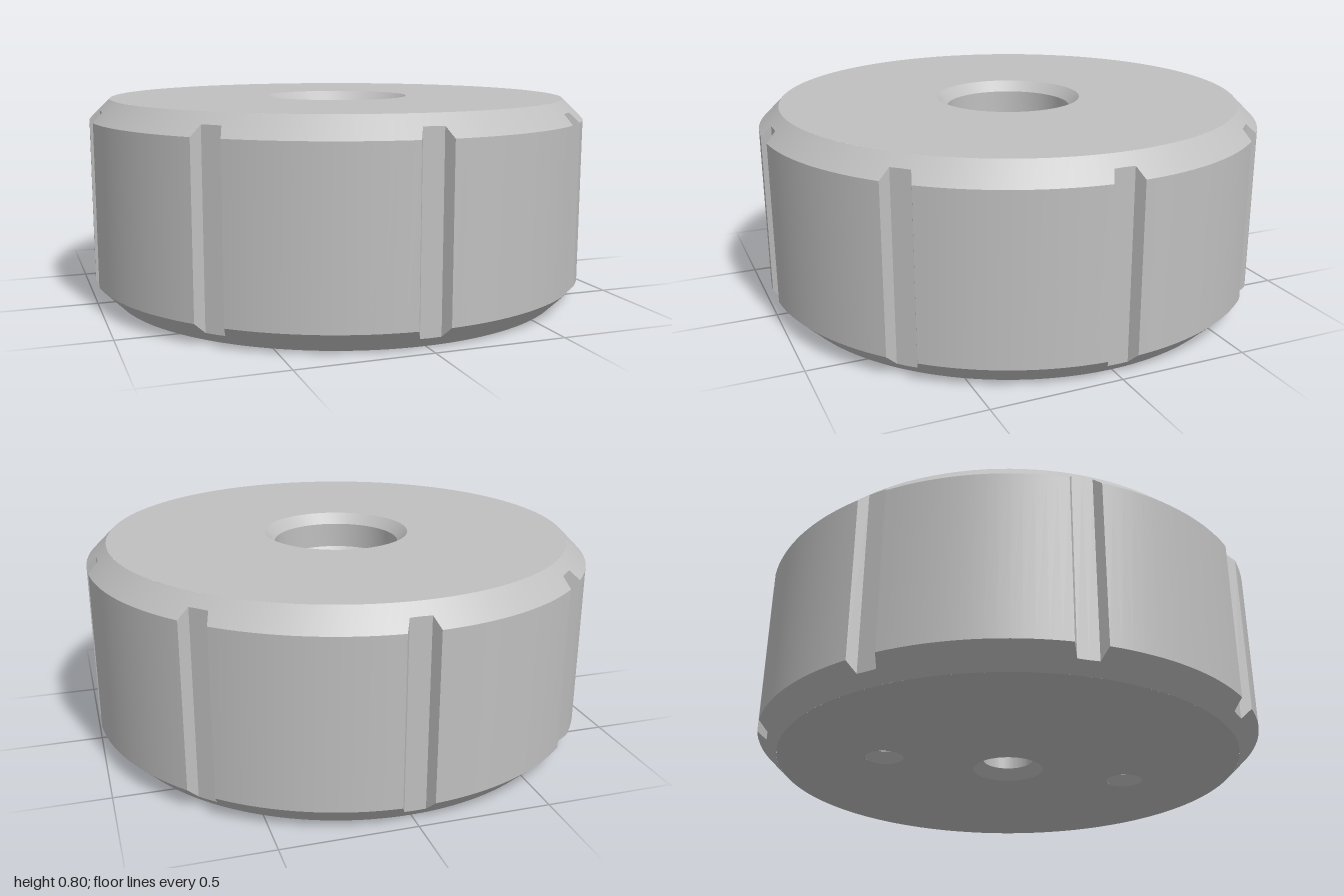
import * as THREE from 'three';
import { toCreasedNormals } from 'three/addons/utils/BufferGeometryUtils.js';

const HEIGHT = 0.8, RIM = 0.92, GROOVES = 8, ARC_STEPS = 16;
const CREASE = Math.PI / 6;

// Outline of the grip in polar form: an arc, then a notch with slanted sides
function gripOutline() {
  const points = [];
  const half = Math.asin(0.06), floor = Math.atan2(0.04, 0.96);
  const pitch = (Math.PI * 2) / GROOVES;
  for (let g = 0; g < GROOVES; g++) {
    const a = g * pitch;
    points.push([a - floor, Math.hypot(0.04, 0.96)], [a, 0.96], [a + floor, Math.hypot(0.04, 0.96)]);
    for (let i = 0; i <= ARC_STEPS; i++) {
      points.push([a + half + ((pitch - 2 * half) * i) / ARC_STEPS, 1]);
    }
  }
  return points;
}

// Side wall with both chamfers; the chamfer height follows the outline radius
function gripGeometry() {
  const outline = gripOutline(), position = [], index = [];
  const n = outline.length;
  outline.forEach(([a, r], i) => {
    const ring = [[RIM, 0], [r, r - RIM], [r, HEIGHT - (r - RIM)], [RIM, HEIGHT]];
    ring.forEach(([radius, y]) => position.push(Math.sin(a) * radius, y, Math.cos(a) * radius));
    const p = i * 4, q = ((i + 1) % n) * 4;
    for (let j = 0; j < 3; j++) {
      index.push(p + j, q + j, q + j + 1, p + j, q + j + 1, p + j + 1);
    }
  });
  const geometry = new THREE.BufferGeometry();
  geometry.setAttribute('position', new THREE.Float32BufferAttribute(position, 3));
  geometry.setIndex(index);
  return toCreasedNormals(geometry, CREASE);
}

function turned(profile, segments) {
  const points = profile.map(([r, y]) => new THREE.Vector2(r, y));
  return toCreasedNormals(new THREE.LatheGeometry(points, segments), CREASE);
}

export function createModel() {
  const model = new THREE.Group();
  model.name = 'gripWheel';
  const metal = new THREE.MeshStandardMaterial({ color: 0xbfbfbf });
  metal.name = 'light grey metal';

  const add = (name, geometry) => {
    const mesh = new THREE.Mesh(geometry, metal);
    mesh.name = name;
    model.add(mesh);
    return mesh;
  };

  add('groovedGrip', gripGeometry());

  // Top face, stepped counterbore and through hole in one turned profile
  add('topFaceAndBore', turned([
    [RIM, HEIGHT], [0.29, HEIGHT], [0.25, 0.76], [0.25, 0.66],
    [0.19, 0.6], [0.1, 0.6], [0.1, 0.04], [0.14, 0],
  ], 128));

  // Underside with the bore opening and two pin holes
  const pinZ = 0.505, pinRadius = 0.075;
  const underside = new THREE.Shape().absarc(0, 0, RIM, 0, Math.PI * 2, false);
  [[0, 0.14], [pinZ, pinRadius], [-pinZ, pinRadius]].forEach(([z, r]) => {
    underside.holes.push(new THREE.Path().absarc(0, z, r, 0, Math.PI * 2, true));
  });
  add('underside', new THREE.ShapeGeometry(underside, 64).rotateX(Math.PI / 2));

  // Blind countersunk pin holes
  const pinHole = turned([[0, 0.25], [0.037, 0.25], [0.037, 0.038], [pinRadius, 0]], 64);
  for (const side of [1, -1]) {
    add(side > 0 ? 'frontPinHole' : 'backPinHole', pinHole).position.z = side * pinZ;
  }

  return model;
}
